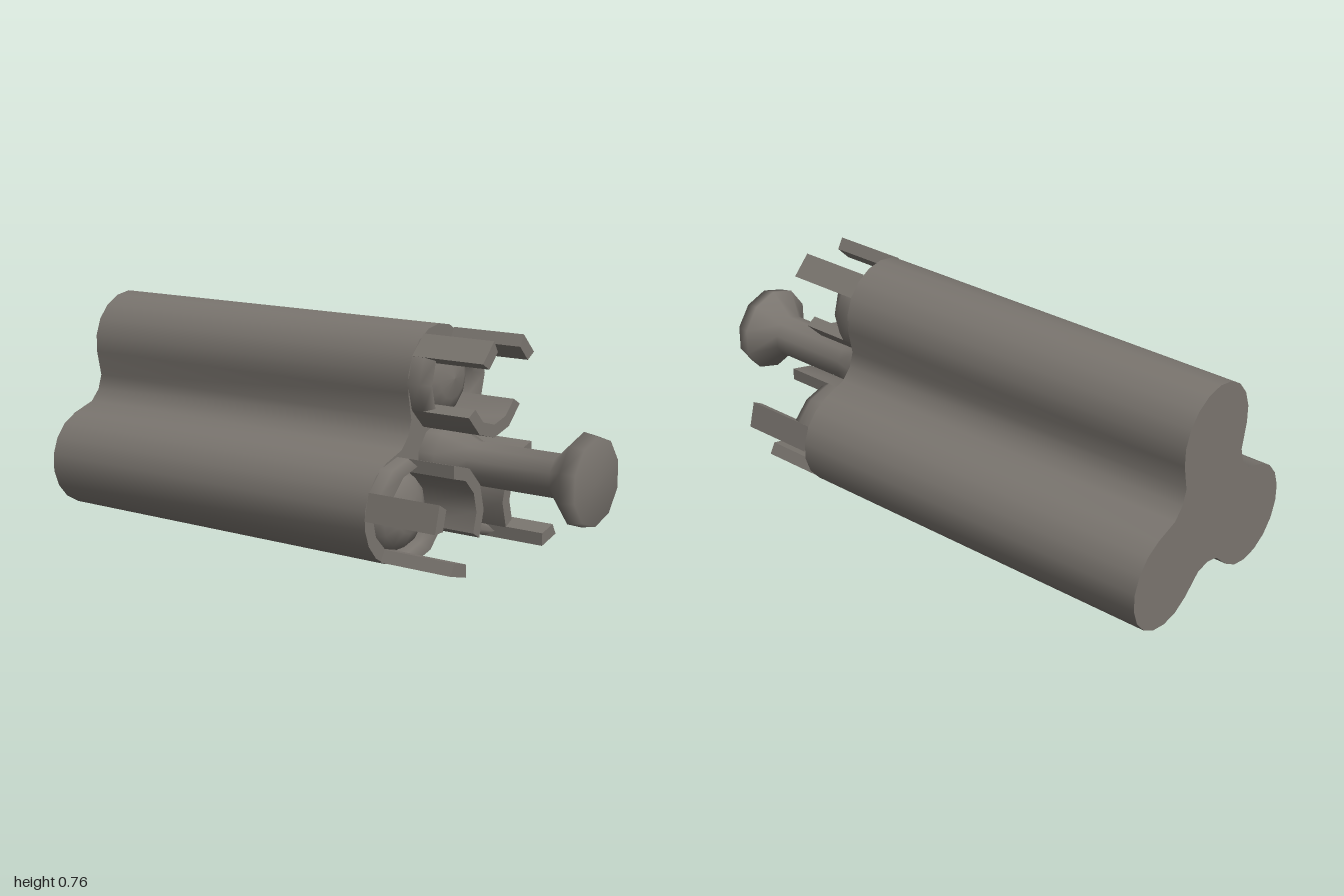
import * as THREE from 'three';
import { toCreasedNormals } from 'three/addons/utils/BufferGeometryUtils.js';

const CY = 0.314, D = 0.272, R = 0.178, RI = 0.135, FACE = 0.4;
const rad = (deg) => deg * Math.PI / 180;

export function createModel() {
  const model = new THREE.Group();
  const metal = new THREE.MeshStandardMaterial({ color: 0x7a756f });
  metal.name = 'warm grey metal';

  const add = (parent, geometry, name) => {
    const mesh = new THREE.Mesh(geometry, metal);
    mesh.name = name;
    parent.add(mesh);
    return mesh;
  };

  // Lathe turned so that its axis runs along +z; angles count from +x
  const turned = (profile, sides, startDeg = 0, sweepDeg = 360) => {
    const points = profile.map(([r, z]) => new THREE.Vector2(r, z));
    return new THREE.LatheGeometry(points, sides, rad(startDeg + 90), rad(sweepDeg)).rotateX(Math.PI / 2);
  };

  // Segment of a faceted ring wall, in 30 degree steps
  const wall = (a0, a1, r0, r1, depth) => {
    const shape = new THREE.Shape();
    const pts = [];
    for (let a = a0; a <= a1; a += 30) pts.push(new THREE.Vector2(Math.cos(rad(a)) * r1, Math.sin(rad(a)) * r1));
    for (let a = a1; a >= a0; a -= 30) pts.push(new THREE.Vector2(Math.cos(rad(a)) * r0, Math.sin(rad(a)) * r0));
    shape.setFromPoints(pts);
    const g = new THREE.ExtrudeGeometry(shape, { depth, bevelEnabled: false });
    g.translate(0, 0, FACE);
    return toCreasedNormals(g, rad(35));
  };

  // Three-lobed body
  const outline = [];
  for (let k = 0; k < 3; k++) {
    const turn = rad(90 + 120 * k);
    for (let a = -100; a <= 100; a += 20) {
      outline.push(new THREE.Vector2(
        D * Math.cos(turn) + R * Math.cos(turn + rad(a)),
        D * Math.sin(turn) + R * Math.sin(turn + rad(a))));
    }
    for (const [off, r] of [[46, 0.218], [60, 0.2], [74, 0.218]]) {
      outline.push(new THREE.Vector2(r * Math.cos(turn + rad(off)), r * Math.sin(turn + rad(off))));
    }
  }
  const bodyGeometry = new THREE.ExtrudeGeometry(new THREE.Shape(outline), { depth: 1 + FACE, bevelEnabled: false });
  bodyGeometry.translate(0, CY, -1);
  add(model, toCreasedNormals(bodyGeometry, rad(45)), 'body');

  // Sockets at the front of each lobe
  for (let k = 0; k < 3; k++) {
    const arm = new THREE.Group();
    arm.name = 'socketArm' + (k + 1);
    arm.position.y = CY;
    arm.rotation.z = rad(120 * k);
    const socket = new THREE.Group();
    socket.name = 'socket';
    socket.position.y = D;
    arm.add(socket);
    model.add(arm);

    add(socket, turned([[RI, 0.395], [0.118, 0.43], [0.07, 0.455], [0, 0.465]], 12), 'dome');
    add(socket, wall(210, 330, RI, R, 0.22), 'innerLip');
    for (const start of [30, 120]) add(socket, wall(start, start + 30, RI, R + 0.001, 0.27), 'outerProng');
    for (const start of [-30, 150]) {
      add(socket, turned([[R, 0.395], [R, 0.445], [0.157, 0.48], [RI, 0.445], [RI, 0.395]], 2, start, 60), 'roundedRim');
    }
  }

  // Central plunger with a flared head
  const plunger = turned([
    [0.12, 0.395], [0.12, 0.46], [0.075, 0.56], [0.075, 0.87],
    [0.155, 0.95], [0.145, 1], [0, 1]], 10);
  plunger.rotateZ(rad(18));
  add(model, plunger, 'plunger').position.y = CY;

  return model;
}
